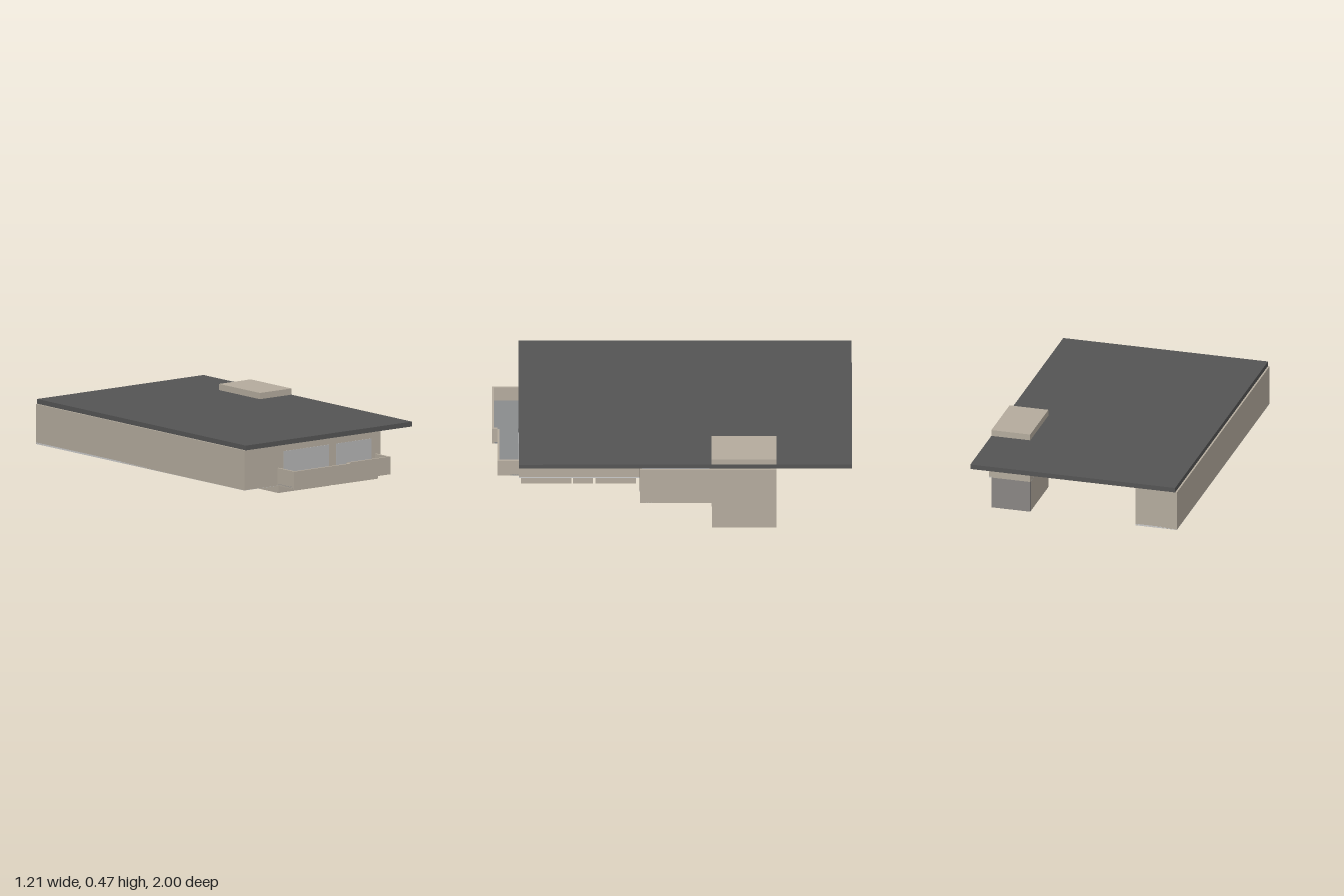
import * as THREE from 'three';

const mat = (color) => new THREE.MeshStandardMaterial({ color, side: THREE.DoubleSide });
const WALL = mat(0xb5ac9e), ROOF = mat(0x555555), FLOOR = mat(0xbcbcbc);
const DECK = mat(0x8a8c8e), GLASS = mat(0xb4b4b4), GREY = mat(0x8a8784), WOOD = mat(0xb08860);
const T = 0.012; // wall thickness

// Box given by its min and max corners
function box(parent, name, m, x0, x1, y0, y1, z0, z1) {
  const mesh = new THREE.Mesh(new THREE.BoxGeometry(x1 - x0, y1 - y0, z1 - z0), m);
  mesh.position.set((x0 + x1) / 2, (y0 + y1) / 2, (z0 + z1) / 2);
  mesh.name = name;
  parent.add(mesh);
  return mesh;
}

// Horizontal slab from a plan outline of [x, z] points
function slab(parent, name, m, plan, y0, y1, hole) {
  const toShape = (pts) => pts.map(([x, z]) => new THREE.Vector2(x, -z));
  const shape = new THREE.Shape(toShape(plan));
  if (hole) shape.holes.push(new THREE.Path(toShape(hole)));
  const geo = new THREE.ExtrudeGeometry(shape, { depth: y1 - y0, bevelEnabled: false });
  geo.rotateX(-Math.PI / 2).translate(0, y0, 0);
  const mesh = new THREE.Mesh(geo, m);
  mesh.name = name;
  parent.add(mesh);
}

// One wall along each plan edge, set on the inner side
function walls(parent, name, plan, y0, y1, skipEdge = -1) {
  plan.forEach(([ax, az], i) => {
    if (i === skipEdge) return;
    const [bx, bz] = plan[(i + 1) % plan.length];
    const nx = Math.sign(bz - az) * T, nz = -Math.sign(bx - ax) * T;
    const xs = [ax, bx, ax + nx], zs = [az, bz, az + nz];
    box(parent, name, WALL, Math.min(...xs), Math.max(...xs), y0, y1, Math.min(...zs), Math.max(...zs));
  });
}

function group(parent, name) {
  const g = new THREE.Group();
  g.name = name;
  parent.add(g);
  return g;
}

export function createModel() {
  const model = new THREE.Group();
  model.name = 'building';

  // Main storey: hollow walls on a stepped plan
  const plan = [
    [-0.605, 0.85], [0.365, 0.85], [0.365, 0.18], [0.605, 0.18], [0.605, -0.58], [0.365, -0.58],
    [0.365, -0.22], [-0.085, -0.22], [-0.085, -0.16], [-0.365, -0.16], [-0.365, -1], [-0.605, -1],
  ];
  const shaft = [[0.375, -0.23], [0.58, -0.23], [0.58, -0.57], [0.375, -0.57]];
  const storey = group(model, 'mainStorey');
  walls(storey, 'outerWall', plan, 0.18, 0.405);
  slab(storey, 'floor', FLOOR, plan, 0.179, 0.188, shaft);

  // Flat roof
  box(model, 'roof', ROOF, -0.595, 0.59, 0.405, 0.432, -1, 0.852);

  // Front windows
  for (const [x0, x1] of [[-0.325, -0.005], [0.05, 0.3]])
    box(model, 'window', GLASS, x0, x1, 0.2, 0.37, 0.846, 0.853);

  // Stepped balcony with parapet
  const balcony = group(model, 'balcony');
  const deck = [[-0.37, 1], [0.035, 1], [0.035, 0.97], [0.34, 0.97], [0.34, 0.85], [-0.37, 0.85]];
  walls(balcony, 'parapet', deck, 0.18, 0.28, 4);
  slab(balcony, 'deck', DECK, deck, 0.181, 0.192);

  // Stair tower, open at the foot of its front
  const tower = group(model, 'stairTower');
  box(tower, 'sideWall', WALL, 0.59 - T, 0.59, 0, 0.465, -0.58, -0.22);
  box(tower, 'sideWall', WALL, 0.365, 0.365 + T, 0, 0.465, -0.58, -0.22);
  box(tower, 'frontWall', WALL, 0.365, 0.59, 0.145, 0.465, -0.22 - T, -0.219);
  box(tower, 'backWall', GREY, 0.365, 0.59, 0, 0.18, -0.581, -0.58 + T);
  box(tower, 'backWallTop', WALL, 0.365, 0.59, 0.18, 0.465, -0.581, -0.58 + T);
  box(tower, 'cap', WALL, 0.365, 0.59, 0.455, 0.467, -0.581, -0.219);

  // Sloping flight inside the tower
  const side = new THREE.Shape([[0.56, 0], [0.56, 0.02], [0.25, 0.2], [0.25, 0.18]]
    .map(([z, y]) => new THREE.Vector2(z, y)));
  const flight = new THREE.Mesh(new THREE.ExtrudeGeometry(side, { depth: 0.103, bevelEnabled: false }), WALL);
  flight.geometry.rotateY(Math.PI / 2).translate(0.377, 0, 0);
  flight.name = 'stairFlight';
  tower.add(flight);

  // Shallow blocks hung under the floor with narrow gaps
  const under = group(model, 'underfloor');
  const blocks = [
    [0.03, 0.355, 0.56, 0.84], [0.03, 0.355, 0.44, 0.55], [0.03, 0.355, 0.2, 0.425],
    [-0.355, 0.02, 0.56, 0.84], [-0.2, 0.02, 0.4, 0.55], [-0.355, -0.23, 0.36, 0.53],
    [-0.12, 0.02, 0.2, 0.39], [-0.355, -0.13, 0.18, 0.35],
    [-0.12, -0.04, 0.1, 0.19], [-0.355, -0.12, 0.04, 0.18],
  ];
  for (const [x0, x1, z0, z1] of blocks) box(under, 'underfloorBlock', WALL, x0, x1, 0.135, 0.18, z0, z1);
  box(under, 'woodPanel', WOOD, -0.28, -0.22, 0.137, 0.18, 0.535, 0.55);

  return model;
}
